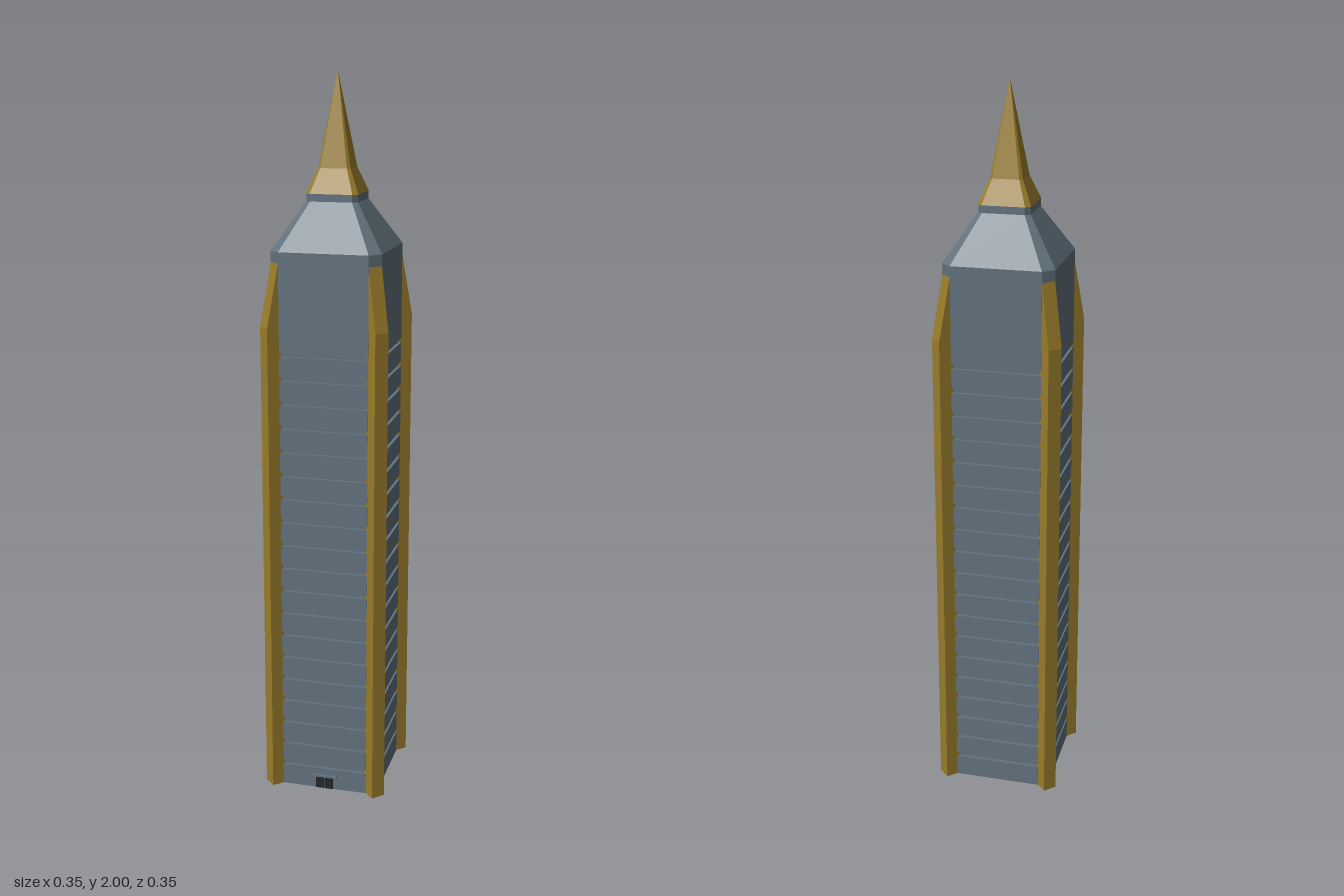
import * as THREE from 'three';

const BLUE = new THREE.MeshStandardMaterial({ color: 0x62727d, flatShading: true });
const GOLD = new THREE.MeshStandardMaterial({ color: 0x9a7d2b, flatShading: true });
const DARK = new THREE.MeshStandardMaterial({ color: 0x22272b, flatShading: true });

// Closed stack of square rings with cut corners: [y, half width, half length of the flat side]
function loft(rings) {
  const pos = [];
  const loops = rings.map(([y, h, f]) =>
    [[f, h], [h, f], [h, -f], [f, -h], [-f, -h], [-h, -f], [-h, f], [-f, h]]
      .map(([x, z]) => new THREE.Vector3(x, y, z)));
  const tri = (a, b, c) => {
    if (a.equals(b) || b.equals(c) || a.equals(c)) return;
    for (const p of [a, b, c]) pos.push(p.x, p.y, p.z);
  };
  for (let r = 0; r < loops.length - 1; r++) {
    for (let i = 0; i < 8; i++) {
      const j = (i + 1) % 8, a = loops[r], b = loops[r + 1];
      tri(a[i], a[j], b[j]);
      tri(a[i], b[j], b[i]);
    }
  }
  const lo = loops[0], hi = loops[loops.length - 1];
  for (let i = 1; i < 7; i++) {
    tri(lo[0], lo[i + 1], lo[i]);
    tri(hi[0], hi[i], hi[i + 1]);
  }
  const g = new THREE.BufferGeometry();
  g.setAttribute('position', new THREE.Float32BufferAttribute(pos, 3));
  g.computeVertexNormals();
  return g;
}

export function createModel() {
  const model = new THREE.Group();
  model.name = 'skyscraper';
  const add = (name, geometry, material, x = 0, y = 0, z = 0, parent = model) => {
    const mesh = new THREE.Mesh(geometry, material);
    mesh.name = name;
    mesh.position.set(x, y, z);
    parent.add(mesh);
    return mesh;
  };

  // Shaft with a recessed groove at each floor, sloped roof and neck
  const H = 0.151, F = 0.122, IN = 0.142;
  const rings = [[0, H, F]];
  for (let i = 0; i < 19; i++) {
    const y = 0.067 + i * 0.0667;
    rings.push([y - 0.006, H, F], [y - 0.006, IN, F], [y + 0.006, IN, F], [y + 0.006, H, F]);
  }
  rings.push([1.54, H, F], [1.665, 0.07, 0.057], [1.685, 0.07, 0.057]);
  add('tower', loft(rings), BLUE);

  // Spire
  add('spire', loft([[1.685, 0.071, 0.058], [1.75, 0.044, 0.036], [2, 0, 0]]), GOLD);

  // Corner piers, set on the diagonals and sloping in at the top
  const profile = new THREE.Shape([[0.186, 0], [0.2275, 0], [0.2275, 1.34], [0.193, 1.51], [0.186, 1.51]]
    .map(([d, y]) => new THREE.Vector2(d, y)));
  const pier = new THREE.ExtrudeGeometry(profile, { depth: 0.04, bevelEnabled: false });
  pier.translate(0, 0, -0.02);
  for (let k = 0; k < 4; k++) {
    add('cornerPier', pier, GOLD).rotation.y = Math.PI / 4 + k * Math.PI / 2;
  }

  // Entrance: canopy over two dark doors
  const entrance = new THREE.Group();
  entrance.name = 'entrance';
  model.add(entrance);
  add('canopy', new THREE.BoxGeometry(0.074, 0.005, 0.01), BLUE, 0, 0.039, 0.154, entrance);
  for (const s of [-1, 1]) {
    add('door', new THREE.BoxGeometry(0.024, 0.036, 0.004), DARK, s * 0.013, 0.018, 0.151, entrance);
  }
  return model;
}
